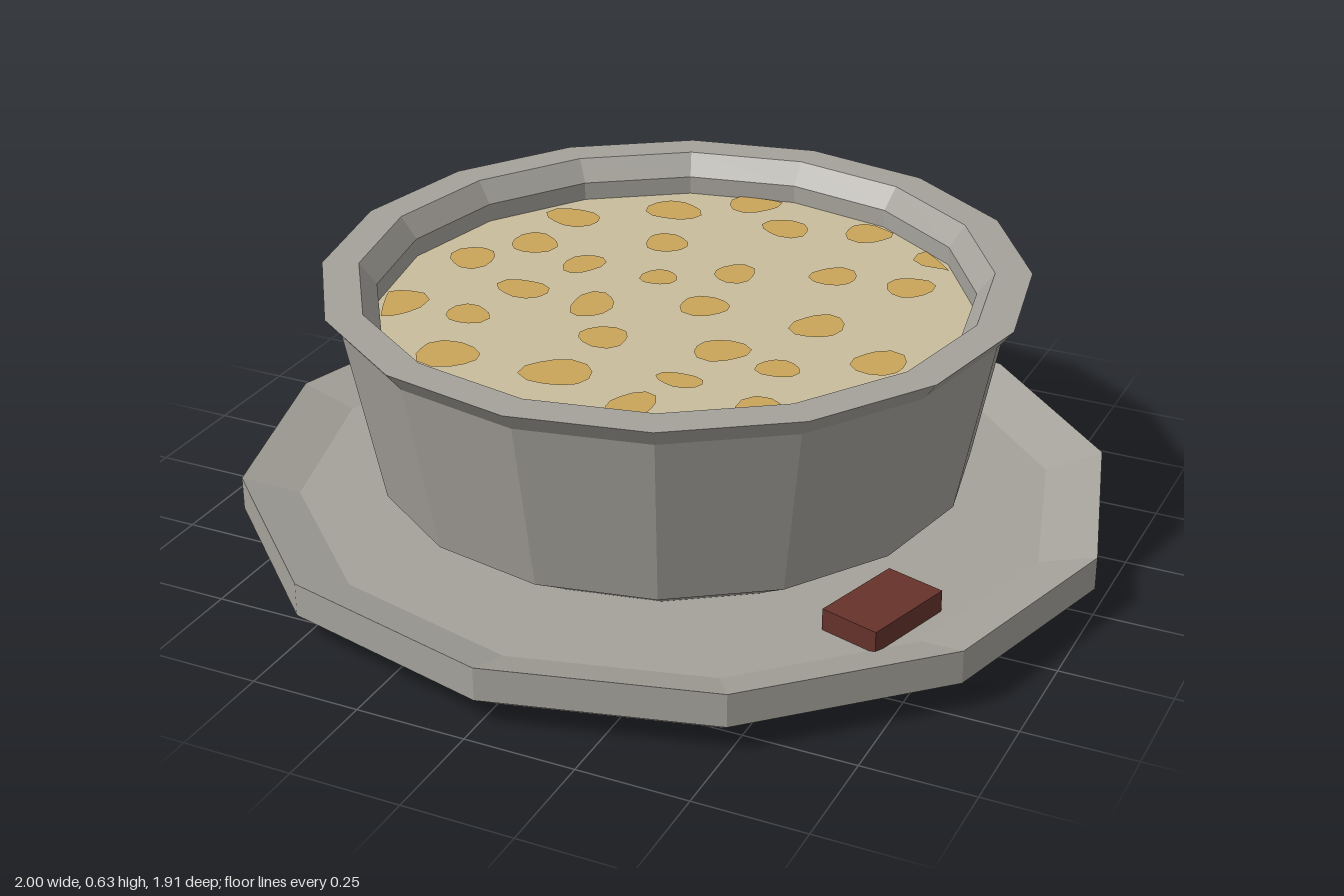
import * as THREE from 'three';

const material = (name, hex) => Object.assign(new THREE.MeshStandardMaterial({ color: hex }), { name });

// Faceted solid of revolution from [radius, height] pairs
function facetedLathe(profile, sides) {
  const pts = profile.map(([r, y]) => new THREE.Vector2(r, y));
  const geo = new THREE.LatheGeometry(pts, sides).toNonIndexed();
  geo.computeVertexNormals();
  return geo;
}

function addMesh(parent, name, geometry, mat) {
  const mesh = new THREE.Mesh(geometry, mat);
  mesh.name = name;
  parent.add(mesh);
  return mesh;
}

// Lumpy oval outline, kept inside the round soup surface
function chunkShape(cx, cz, rx, rz, seed) {
  const pts = [];
  for (let i = 0; i < 12; i++) {
    const a = (i / 12) * Math.PI * 2;
    const lump = 1 + 0.09 * Math.sin(2 * a + seed * 1.7) + 0.06 * Math.sin(3 * a + seed * 2.3);
    const p = new THREE.Vector2(cx + Math.cos(a) * rx * lump, -cz + Math.sin(a) * rz * lump);
    pts.push(p.clampLength(0, 0.65));
  }
  return new THREE.Shape(pts);
}

// Centre of each chunk (x, z) and its half sizes
const CHUNKS = [
  [-.08, -.61, .06, .06], [-.24, -.49, .065, .06], [.05, -.5, .06, .05], [.24, -.555, .06, .055],
  [.46, -.49, .07, .065], [-.44, -.35, .065, .055], [-.17, -.305, .055, .05], [.26, -.29, .055, .05],
  [.44, -.305, .05, .06], [-.45, -.175, .055, .06], [.05, -.21, .05, .05], [-.29, -.115, .045, .055],
  [-.1, -.12, .04, .045], [-.54, -.04, .055, .06], [.06, -.02, .06, .05], [.33, -.03, .055, .065],
  [-.35, .065, .06, .05], [-.17, .075, .05, .065], [.52, .085, .06, .06], [-.57, .25, .06, .08],
  [-.395, .235, .05, .05], [-.07, .215, .06, .05], [.19, .17, .06, .055], [.335, .2, .045, .045],
  [.545, .285, .055, .06], [-.335, .43, .075, .06], [-.08, .41, .075, .065], [.17, .335, .05, .035],
  [.38, .395, .06, .06], [.13, .48, .05, .06], [-.27, .58, .06, .05], [-.03, .605, .06, .06],
  [.24, .57, .06, .05],
];

export function createModel() {
  const stone = material('stone grey', 0xa5a29b);
  const cream = material('soup cream', 0xc8bd9c);
  const gold = material('chunk gold', 0xc9a55a);
  const brown = material('brown', 0x66322b);

  const model = new THREE.Group();
  model.name = 'soupBowlOnSaucer';

  // Twelve-sided saucer with a shallow well
  const saucer = addMesh(model, 'saucer', facetedLathe([
    [0, 0], [0.9, 0], [1, 0.065], [1, 0.142], [0.87, 0.1], [0, 0.1],
  ], 12), stone);
  saucer.scale.z = 0.955;

  // Sixteen-sided bowl with a flared lip
  const bowl = new THREE.Group();
  bowl.name = 'bowl';
  bowl.position.set(-0.005, 0, -0.008);
  bowl.scale.z = 1.02;
  model.add(bowl);
  addMesh(bowl, 'bowlShell', facetedLathe([
    [0.53, 0.095], [0.6, 0.14], [0.672, 0.185], [0.75, 0.585], [0.785, 0.63],
    [0.703, 0.63], [0.665, 0.58], [0.665, 0.5],
  ], 16), stone);

  // Soup surface, with a corner facing the front like the bowl
  const soup = addMesh(bowl, 'soup', new THREE.CircleGeometry(0.667, 16), cream);
  soup.rotation.x = -Math.PI / 2;
  soup.position.y = 0.537;

  // Floating chunks lying on the soup
  const shapes = CHUNKS.map(([x, z, rx, rz], i) => chunkShape(x, z, rx, rz, i));
  const chunks = addMesh(bowl, 'soupChunks', new THREE.ShapeGeometry(shapes), gold);
  chunks.rotation.x = -Math.PI / 2;
  chunks.position.y = 0.541;

  // Small block resting on the saucer
  const block = addMesh(model, 'sideBlock', new THREE.BoxGeometry(0.14, 0.052, 0.225), brown);
  block.position.set(0.65, 0.124, 0.372);
  block.rotation.y = -0.293;

  return model;
}
